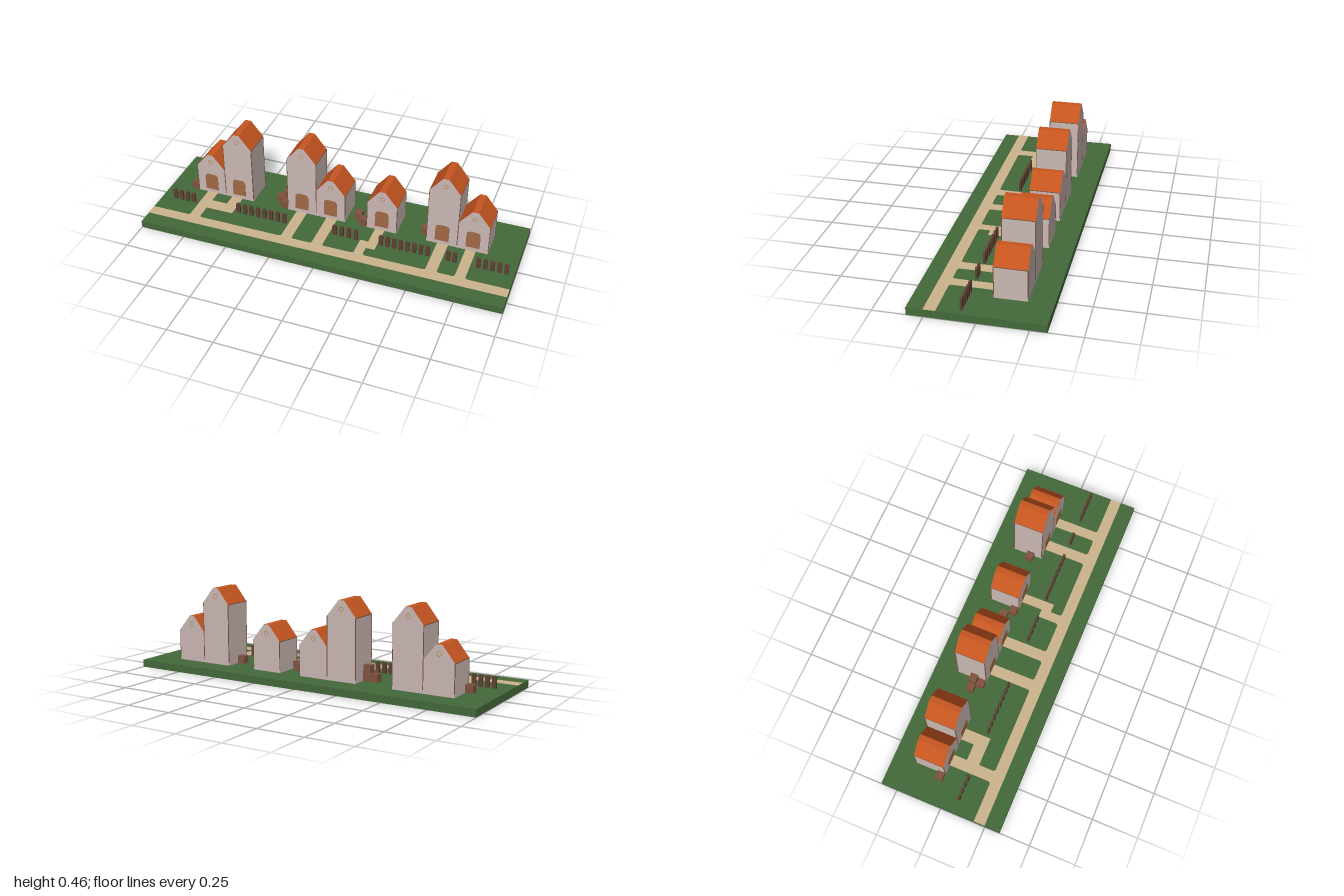
import * as THREE from 'three';

const mat = (name, color, side = THREE.FrontSide) => {
  const m = new THREE.MeshStandardMaterial({ color, side });
  m.name = name;
  return m;
};

export function createModel() {
  const grass = mat('grass green', 0x44693a);
  const sand = mat('path sand', 0xcbb48c);
  const plaster = mat('wall plaster', 0xcbb8b4);
  const tile = mat('roof orange', 0xc65520);
  const doorWood = mat('door wood', 0xa06a45);
  const brass = mat('window frame', 0xb8914f);
  const trim = mat('trim brown', 0x7d5543);
  const crateWood = mat('crate wood', 0x80523f);
  const fenceWood = mat('fence wood', 0x5f4032);

  const root = new THREE.Group();
  root.name = 'village';
  const GROUND = 0.04, BACK = -0.207, FRONT = -0.042, HALF = 0.0833;
  const DEPTH = FRONT - BACK, MID = (FRONT + BACK) / 2;

  const add = (parent, name, geo, material, x = 0, y = 0, z = 0) => {
    const mesh = new THREE.Mesh(geo, material);
    mesh.name = name;
    mesh.position.set(x, y, z);
    parent.add(mesh);
    return mesh;
  };
  const box = (parent, name, material, x0, x1, y0, y1, z0, z1) =>
    add(parent, name, new THREE.BoxGeometry(x1 - x0, y1 - y0, z1 - z0), material,
      (x0 + x1) / 2, (y0 + y1) / 2, (z0 + z1) / 2);
  const extrude = (shape, depth) =>
    new THREE.ExtrudeGeometry(shape, { depth, bevelEnabled: false, curveSegments: 6 });

  // Ground slab and main road
  box(root, 'ground', grass, -1, 1, 0, GROUND, -0.333, 0.333);
  const PATH = GROUND + 0.002;
  box(root, 'road', sand, -1, 1, GROUND, PATH, 0.19, 0.25);

  // Footpath whose corners flare out where it meets another path
  function footpath(x0, x1, z0, z1, r = 0.015) {
    const s = new THREE.Shape();
    s.moveTo(x0, -z0);
    s.lineTo(x0, -z1 + r);
    s.quadraticCurveTo(x0, -z1, x0 - r, -z1);
    s.lineTo(x1 + r, -z1);
    s.quadraticCurveTo(x1, -z1, x1, -z1 + r);
    s.lineTo(x1, -z0);
    s.closePath();
    add(root, 'footpath', extrude(s, PATH - GROUND), sand, 0, GROUND).rotation.x = -Math.PI / 2;
  }
  for (const [x0, x1] of [[-0.78, -0.72], [-0.24, -0.18], [-0.065, -0.005], [0.56, 0.62], [0.715, 0.77]])
    footpath(x0, x1, FRONT, 0.19);
  footpath(0.17, 0.22, 0.075, 0.19);
  box(root, 'footpath', sand, 0.215, 0.267, GROUND, PATH, FRONT, 0.128);
  box(root, 'footpath', sand, -0.63, -0.567, GROUND, PATH, FRONT, 0.1);
  box(root, 'footpath', sand, -0.73, -0.62, GROUND, PATH, 0.03, 0.1);

  // Upright outline with rounded top corners, used for doors and fence posts
  function archShape(w, h, r) {
    const s = new THREE.Shape();
    s.moveTo(-w / 2, 0);
    s.lineTo(w / 2, 0);
    s.lineTo(w / 2, h - r);
    s.quadraticCurveTo(w / 2, h, w / 2 - r, h);
    s.lineTo(-w / 2 + r, h);
    s.quadraticCurveTo(-w / 2, h, -w / 2, h - r);
    s.closePath();
    return s;
  }

  // Gable profile with a narrow flat ridge
  const gable = new THREE.Shape([[-HALF, 0], [HALF, 0], [0.016, 0.0835], [-0.016, 0.0835]]
    .map(([x, y]) => new THREE.Vector2(x, y)));
  const gableGeo = extrude(gable, DEPTH);
  const doorGeo = extrude(archShape(0.075, 0.1, 0.025), 0.003);
  const ringGeo = new THREE.RingGeometry(0.010, 0.014, 12);

  function house(x, eaves) {
    const g = new THREE.Group();
    g.name = 'house';
    g.position.x = x;
    root.add(g);
    box(g, 'walls', plaster, -HALF, HALF, GROUND, eaves, BACK, FRONT);
    add(g, 'gableRoof', gableGeo, [plaster, tile], 0, eaves, BACK);
    add(g, 'door', doorGeo, doorWood, 0, 0.064, FRONT);
    // Round gable window frames, front and back
    add(g, 'windowFrame', ringGeo, brass, 0, eaves + 0.038, FRONT + 0.0015);
    add(g, 'windowFrame', ringGeo, brass, 0, eaves + 0.038, BACK - 0.0015).rotation.y = Math.PI;
    // Slim corner posts and eave strips
    for (const s of [-1, 1]) {
      const xc = s * (HALF - 0.0005);
      box(g, 'eaveTrim', trim, xc - 0.0015, xc + 0.0015, eaves - 0.004, eaves, BACK, FRONT);
      for (const z of [BACK + 0.001, FRONT - 0.001])
        box(g, 'cornerTrim', trim, xc - 0.0015, xc + 0.0015, 0.058, eaves, z - 0.002, z + 0.002);
    }
  }
  const LOW = 0.208, TALL = 0.375;
  for (const [x, eaves] of [[-0.75, LOW], [-0.583, TALL], [-0.208, TALL], [-0.042, LOW],
    [0.25, LOW], [0.583, TALL], [0.75, LOW]]) house(x, eaves);

  // Crates beside the houses: x, z, layer
  const C = 0.0417;
  for (const [x, z, layer] of [[-0.854, -0.064, 0], [-0.354, -0.106, 0], [-0.312, -0.106, 0],
    [-0.312, -0.106, 1], [-0.312, -0.064, 0], [0.1, -0.106, 0], [0.142, -0.064, 0], [0.479, -0.106, 0]])
    add(root, 'crate', new THREE.BoxGeometry(C, C, C), crateWood, x, GROUND + C * (layer + 0.5), z);

  // Fence pickets in runs between the footpaths: first x, last x, count
  const postGeo = extrude(archShape(0.022, 0.062, 0.01), 0.012);
  for (const [a, b, n] of [[-0.92, -0.81, 4], [-0.537, -0.265, 8], [0.025, 0.145, 4],
    [0.285, 0.54, 8], [0.65, 0.685, 2], [0.81, 0.957, 5]])
    for (let i = 0; i < n; i++)
      add(root, 'fencePost', postGeo, fenceWood, a + (b - a) * i / (n - 1), GROUND, 0.07);

  return root;
}
